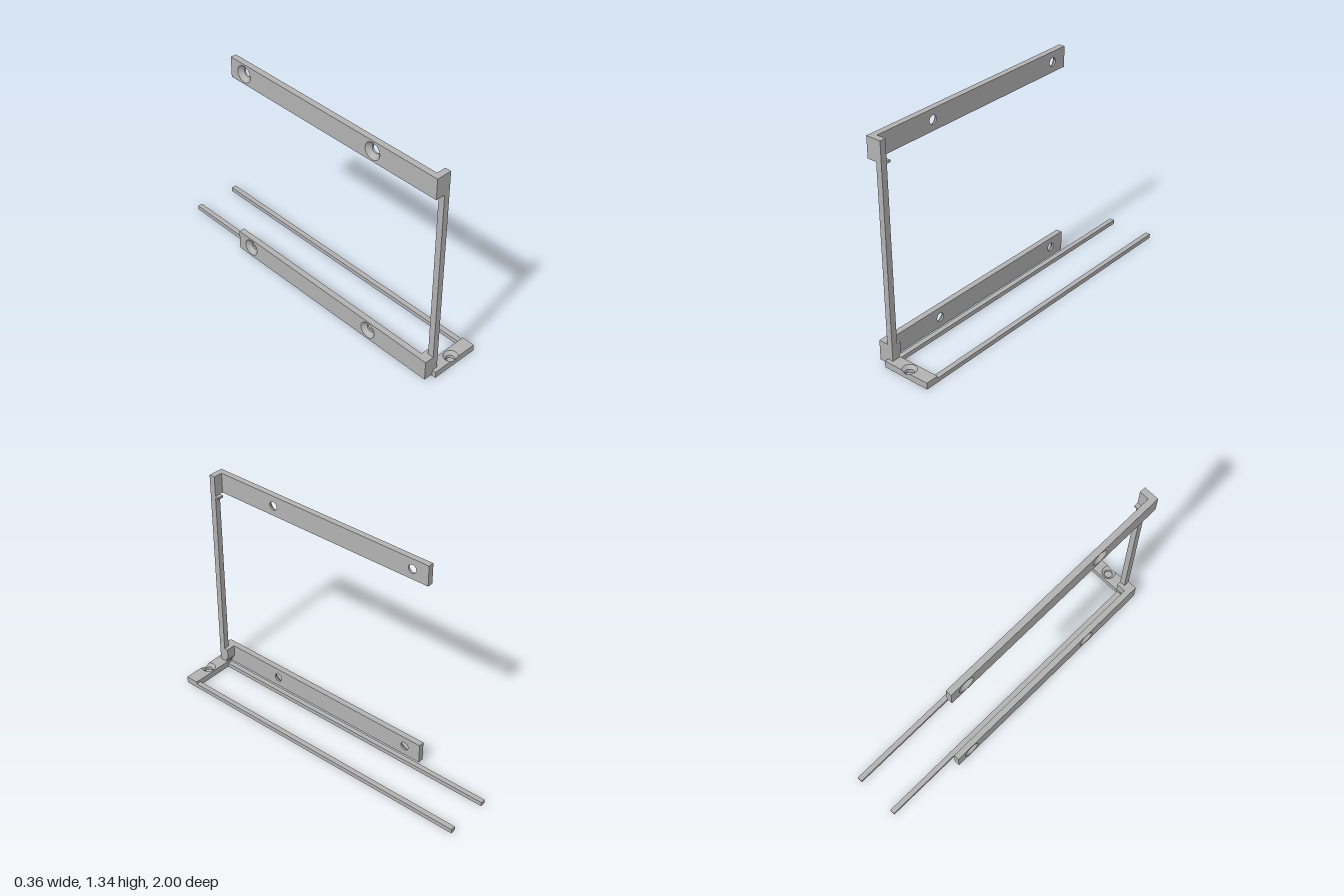
import * as THREE from 'three';
import { toCreasedNormals } from 'three/addons/utils/BufferGeometryUtils.js';

const steel = new THREE.MeshStandardMaterial({ color: 0xb2b2b2 });
steel.name = 'steel grey';
const SEG = 40;

function add(group, name, geometry) {
  const mesh = new THREE.Mesh(geometry, steel);
  mesh.name = name;
  group.add(mesh);
  return mesh;
}

// Box given by its low and high corners
function box(group, name, [x0, y0, z0], [x1, y1, z1]) {
  add(group, name, new THREE.BoxGeometry(x1 - x0, y1 - y0, z1 - z0))
    .position.set((x0 + x1) / 2, (y0 + y1) / 2, (z0 + z1) / 2);
}

// Rectangular plate with round holes; holes taper from r0 (back) to r1 (front)
function drilledPlate(x0, y0, x1, y1, depth, holes, r0, r1) {
  const shape = new THREE.Shape([[x0, y0], [x1, y0], [x1, y1], [x0, y1]].map(p => new THREE.Vector2(...p)));
  for (const [cx, cy] of holes) shape.holes.push(new THREE.Path().absarc(cx, cy, r1, 0, Math.PI * 2, true));
  const geo = new THREE.ExtrudeGeometry(shape, { depth, bevelEnabled: false, curveSegments: SEG });
  const pos = geo.attributes.position;
  for (let i = 0; i < pos.count; i++) {
    if (pos.getZ(i) > depth / 2) continue;
    for (const [cx, cy] of holes) {
      const dx = pos.getX(i) - cx, dy = pos.getY(i) - cy;
      if (Math.abs(Math.hypot(dx, dy) - r1) < 1e-4) pos.setXY(i, cx + dx * r0 / r1, cy + dy * r0 / r1);
    }
  }
  geo.computeVertexNormals();
  return toCreasedNormals(geo, 0.5);
}

// Side arm with two holes countersunk on its outer face
function arm(name, y0, y1) {
  const group = new THREE.Group();
  group.name = name;
  const yc = (y0 + y1) / 2, holes = [[0.545, yc], [-0.425, yc]];
  const inner = drilledPlate(-0.53, y0, 0.976, y1, 0.011, holes, 0.026, 0.026);
  const outer = drilledPlate(-0.53, y0, 0.976, y1, 0.025, holes, 0.026, 0.051);
  add(group, name + 'Inner', inner.rotateY(-Math.PI / 2)).position.x = -0.147;
  add(group, name + 'Countersunk', outer.rotateY(-Math.PI / 2)).position.x = -0.158;
  return group;
}

// Front crossbar whose countersink breaks through the front face
function crossbar() {
  const group = new THREE.Group();
  group.name = 'crossbar';
  const cx = 0.026, cz = 0.97, x0 = -0.03, x1 = 0.082, zb = 0.92, zf = 1;
  const top = 0.04, seat = 0.022, r = 0.024, R = 0.042, reach = zf - cz;
  box(group, 'crossbarRight', [-0.124, 0, zb], [x0, top, zf]);
  box(group, 'crossbarLeft', [x1, 0, zb], [0.18, top, zf]);
  const slab = drilledPlate(x0, -zf, x1, -zb, seat, [[cx, -cz]], r, r);
  add(group, 'screwSeat', slab.rotateX(-Math.PI / 2));
  box(group, 'screwSeatBack', [x0, seat, zb], [x1, top, zb + 0.002]);

  // Rim angle a is measured from +z; the rim is cut where it meets the front
  const edge = Math.acos(reach / R);
  const rim = a => Math.abs(a) < edge ? reach / Math.cos(a) : R;
  const at = (a, rad) => [cx + rad * Math.sin(a), seat + rad - r, cz + rad * Math.cos(a)];
  const span = (a, b) => Array.from({ length: SEG + 1 }, (_, i) => a + (b - a) * i / SEG);

  // Conical wall, split at the break-through so the corners stay crisp
  const verts = [];
  for (const angles of [span(-edge, edge), span(edge, Math.PI * 2 - edge)]) {
    for (let i = 0; i < SEG; i++) {
      const wrap = a => a > Math.PI ? a - Math.PI * 2 : a;
      const a = angles[i], b = angles[i + 1];
      const p = at(a, r), q = at(b, r), s = at(b, rim(wrap(b))), t = at(a, rim(wrap(a)));
      verts.push(...p, ...s, ...q, ...p, ...t, ...s);
    }
  }
  const cone = new THREE.BufferGeometry();
  cone.setAttribute('position', new THREE.Float32BufferAttribute(verts, 3));
  // Face the wall inward, toward the hole's axis
  for (let i = 0; i < verts.length; i += 9) {
    const [a, b, c] = [0, 3, 6].map(k => new THREE.Vector3(verts[i + k], verts[i + k + 1], verts[i + k + 2]));
    const n = b.clone().sub(a).cross(c.clone().sub(a));
    if (n.y < 0) for (let k = 0; k < 3; k++) {
      const tmp = verts[i + 3 + k];
      verts[i + 3 + k] = verts[i + 6 + k];
      verts[i + 6 + k] = tmp;
    }
  }
  cone.setAttribute('position', new THREE.Float32BufferAttribute(verts, 3));
  cone.computeVertexNormals();
  add(group, 'countersink', toCreasedNormals(cone, 0.5));

  // Top face with a bite taken out of its front edge
  const topPts = span(edge, Math.PI * 2 - edge).map(a => {
    const [x, , z] = at(a, R);
    return new THREE.Vector2(x, -z);
  });
  const topShape = new THREE.Shape([...topPts, ...[[x0, -zf], [x0, -zb], [x1, -zb], [x1, -zf]].map(p => new THREE.Vector2(...p))]);
  add(group, 'crossbarTop', new THREE.ShapeGeometry(topShape).rotateX(-Math.PI / 2)).position.y = top;

  // Front face with the curved notch
  const notch = span(-edge, edge).map(a => {
    const [x, y] = at(a, rim(a * 0.99999));
    return new THREE.Vector2(x, Math.min(y, top));
  });
  const frontShape = new THREE.Shape([...notch, ...[[x1, top], [x1, seat], [x0, seat], [x0, top]].map(p => new THREE.Vector2(...p))]);
  add(group, 'crossbarFront', new THREE.ShapeGeometry(frontShape)).position.z = zf;
  return group;
}

export function createModel() {
  const model = new THREE.Group();
  model.name = 'mountingBracket';

  // Upper and lower drilled arms
  model.add(arm('upperArm', 1.213, 1.338), arm('lowerArm', 0.01, 0.134));

  // Upright post with the corner plates that join it to the arms
  box(model, 'post', [-0.124, 0.04, 0.939], [-0.089, 1.338, 0.976]);
  box(model, 'upperCorner', [-0.147, 1.213, 0.939], [-0.124, 1.338, 0.976]);
  box(model, 'lowerCorner', [-0.147, 0.01, 0.939], [-0.124, 0.134, 0.976]);
  box(model, 'upperNub', [-0.124, 1.2, 0.914], [-0.089, 1.213, 0.939]);
  box(model, 'lowerBlock', [-0.147, 0.06, 0.914], [-0.089, 0.134, 0.939]);
  box(model, 'lowerBlockStep', [-0.147, 0.04, 0.926], [-0.089, 0.06, 0.939]);

  // Crossbar and the two long rods running back from it
  model.add(crossbar());
  box(model, 'rightRod', [-0.124, 0, -1], [-0.094, 0.026, 0.92]);
  box(model, 'leftRod', [0.149, 0, -1], [0.18, 0.026, 0.92]);
  return model;
}
